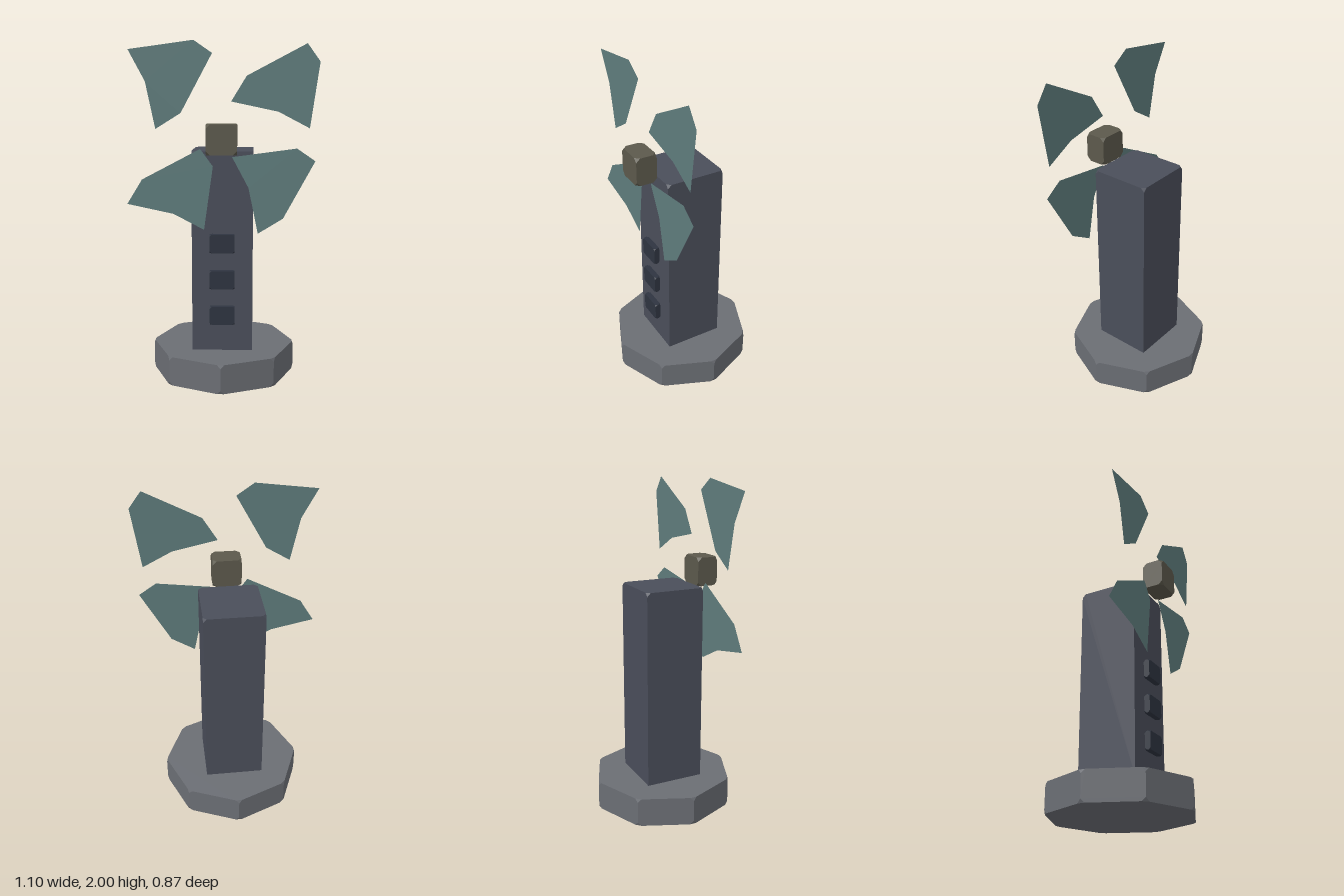
import * as THREE from 'three';
import { ConvexGeometry } from 'three/addons/geometries/ConvexGeometry.js';

const mat = (color, side = THREE.FrontSide) =>
  new THREE.MeshStandardMaterial({ color, flatShading: true, side });

// Upright prism over an [x, z] outline, with every corner nipped off
function nippedPrism(outline, y0, y1, cut) {
  const pts = [];
  const n = outline.length;
  outline.forEach(([x, z], i) => {
    for (const [y, inward] of [[y0, 1], [y1, -1]]) {
      pts.push(new THREE.Vector3(x, y + inward * cut, z));
      for (const [nx, nz] of [outline[(i + 1) % n], outline[(i + n - 1) % n]]) {
        const t = cut / Math.hypot(nx - x, nz - z);
        pts.push(new THREE.Vector3(x + (nx - x) * t, y, z + (nz - z) * t));
      }
    }
  });
  return new ConvexGeometry(pts);
}

const rect = (x, z0, z1) => [[-x, z0], [x, z0], [x, z1], [-x, z1]];

export function createModel() {
  const group = new THREE.Group();
  const add = (name, geometry, material) => {
    const mesh = new THREE.Mesh(geometry, material);
    mesh.name = name;
    group.add(mesh);
    return mesh;
  };

  // Octagonal foundation, corners on the axes
  const octagon = Array.from({ length: 8 }, (_, i) => {
    const a = (i * Math.PI) / 4;
    return [0.435 * Math.cos(a), 0.435 * Math.sin(a)];
  });
  add('base', nippedPrism(octagon, 0, 0.175, 0.022), mat(0x6b6e74));

  // Square tower
  add('tower', nippedPrism(rect(0.18, -0.18, 0.18), 0.15, 1.375, 0.022), mat(0x4a4e5a));

  // Windows up the front
  const windowMat = mat(0x2e3440);
  for (let i = 0; i < 3; i++) {
    const y = 0.345 + i * 0.218;
    add('window' + (i + 1), nippedPrism(rect(0.073, 0.185, 0.22), y, y + 0.11, 0.012), windowMat);
  }

  // Hub block
  add('hub', nippedPrism(rect(0.087, 0.197, 0.325), 1.363, 1.535, 0.024), mat(0x5c594c));

  // Thin sails: two outlines, each repeated on the opposite side of the hub
  const sailMat = mat(0x5f7c7c, THREE.DoubleSide);
  const sails = {
    Right: [[-0.53, 1.95], [-0.16, 2.0], [-0.055, 1.928], [-0.235, 1.595], [-0.38, 1.505], [-0.435, 1.772]],
    Left: [[0.052, 1.66], [0.14, 1.803], [0.477, 1.98], [0.55, 1.88], [0.498, 1.51], [0.32, 1.603]],
  };
  for (const [side, outline] of Object.entries(sails)) {
    const geometry = new THREE.ShapeGeometry(new THREE.Shape(outline.map(p => new THREE.Vector2(...p))));
    add('upper' + side + 'Sail', geometry, sailMat).position.z = 0.225;
    const opposite = side === 'Right' ? 'Left' : 'Right';
    add('lower' + opposite + 'Sail', geometry, sailMat)
      .position.set(side === 'Right' ? 0.588 : -0.602, side === 'Right' ? -0.604 : -0.588, 0.225);
  }

  return group;
}
